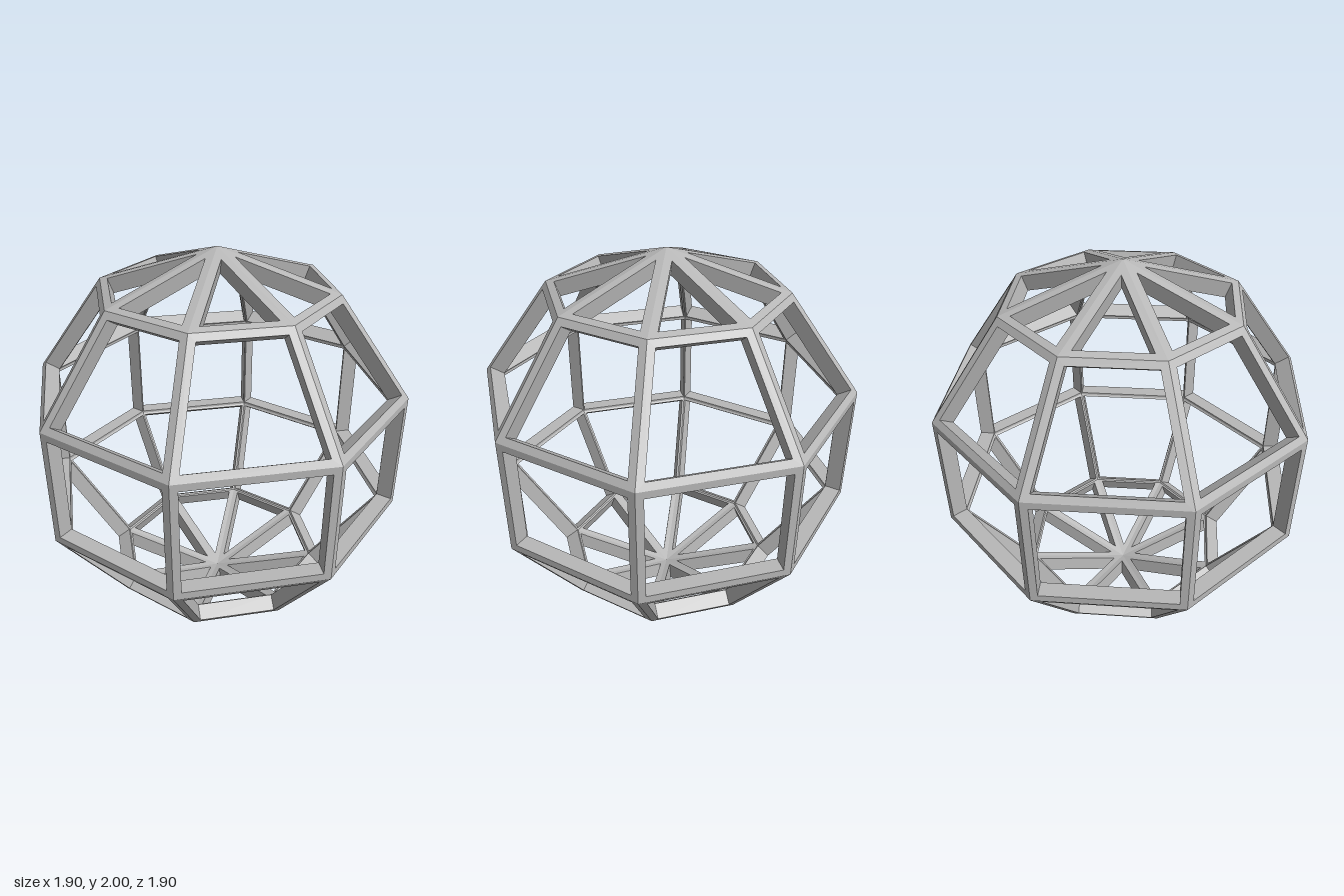
import * as THREE from 'three';

const SIDES = 8, BANDS = 5;
const BORDER = 0.037; // width of each panel's frame
const DEPTH = 0.08;   // thickness of the shell

// Sphere profile from pole to pole, as (radius, height)
const outer = [];
for (let k = 0; k <= BANDS; k++) {
  const t = (k / BANDS) * Math.PI;
  outer.push(new THREE.Vector2(k % BANDS ? Math.sin(t) : 0, Math.cos(t)));
}

// Inner profile: where the panel planes, moved inwards by DEPTH, meet
function insideProfile() {
  const c = Math.cos(Math.PI / SIDES);
  const planes = [];
  for (let k = 0; k < BANDS; k++) {
    const a = outer[k], b = outer[k + 1];
    const n = new THREE.Vector2(a.y - b.y, (b.x - a.x) * c).normalize();
    planes.push({ x: n.x, y: n.y, d: n.x * a.x * c + n.y * a.y - DEPTH });
  }
  return outer.map((p, k) => {
    if (k === 0) return new THREE.Vector2(0, planes[0].d / planes[0].y);
    if (k === BANDS) return new THREE.Vector2(0, planes[k - 1].d / planes[k - 1].y);
    const u = planes[k - 1], v = planes[k];
    const det = u.x * v.y - u.y * v.x;
    return new THREE.Vector2((u.d * v.y - v.d * u.y) / det / c, (u.x * v.d - v.x * u.d) / det);
  });
}

// Corners of one panel, counter-clockwise from outside; triangles at the poles
function panelCorners(profile, k) {
  const at = (p, i) => {
    const a = (i * 2 * Math.PI) / SIDES;
    return new THREE.Vector3(p.x * Math.sin(a), p.y, p.x * Math.cos(a));
  };
  const top = profile[k], low = profile[k + 1];
  const corners = k === BANDS - 1 ? [at(low, 0)] : [at(low, 0), at(low, 1)];
  return corners.concat(k === 0 ? [at(top, 0)] : [at(top, 1), at(top, 0)]);
}

// One open panel: outer border, walls of the opening, inner border
function panelGeometry(k, inner) {
  const out = panelCorners(outer, k), back = panelCorners(inner, k);
  const n = out.length;
  const normal = out[1].clone().sub(out[0]).cross(out[2].clone().sub(out[0])).normalize();
  const rim = out.map((p, i) => {
    const e = out[(i + 1) % n].clone().sub(p).normalize();
    const f = out[(i + n - 1) % n].clone().sub(p).normalize();
    const sin = e.clone().cross(f).length();
    return p.clone().addScaledVector(e.add(f), BORDER / sin);
  });
  const rimBack = rim.map(p => p.clone().addScaledVector(normal, -DEPTH));
  const rings = [out, rim, rimBack, back];
  const pos = [];
  for (let r = 0; r < 3; r++) {
    for (let i = 0; i < n; i++) {
      const j = (i + 1) % n;
      const a = rings[r][i], b = rings[r][j], c = rings[r + 1][j], d = rings[r + 1][i];
      for (const p of [a, b, c, a, c, d]) pos.push(p.x, p.y, p.z);
    }
  }
  const geo = new THREE.BufferGeometry();
  geo.setAttribute('position', new THREE.Float32BufferAttribute(pos, 3));
  geo.computeVertexNormals();
  return geo;
}

export function createModel() {
  const model = new THREE.Group();
  model.name = 'sphereCage';
  const grey = new THREE.MeshStandardMaterial({ color: 0xb8b8b8 });
  grey.name = 'grey';

  const inner = insideProfile();
  const names = ['topCap', 'upperBand', 'middleBand', 'lowerBand', 'bottomCap'];
  names.forEach((name, k) => {
    const band = new THREE.Group();
    band.name = name;
    band.position.y = 1;
    const geo = panelGeometry(k, inner);
    for (let i = 0; i < SIDES; i++) {
      const panel = new THREE.Mesh(geo, grey);
      panel.name = name + 'Frame';
      panel.rotation.y = (i * 2 * Math.PI) / SIDES;
      band.add(panel);
    }
    model.add(band);
  });
  return model;
}
